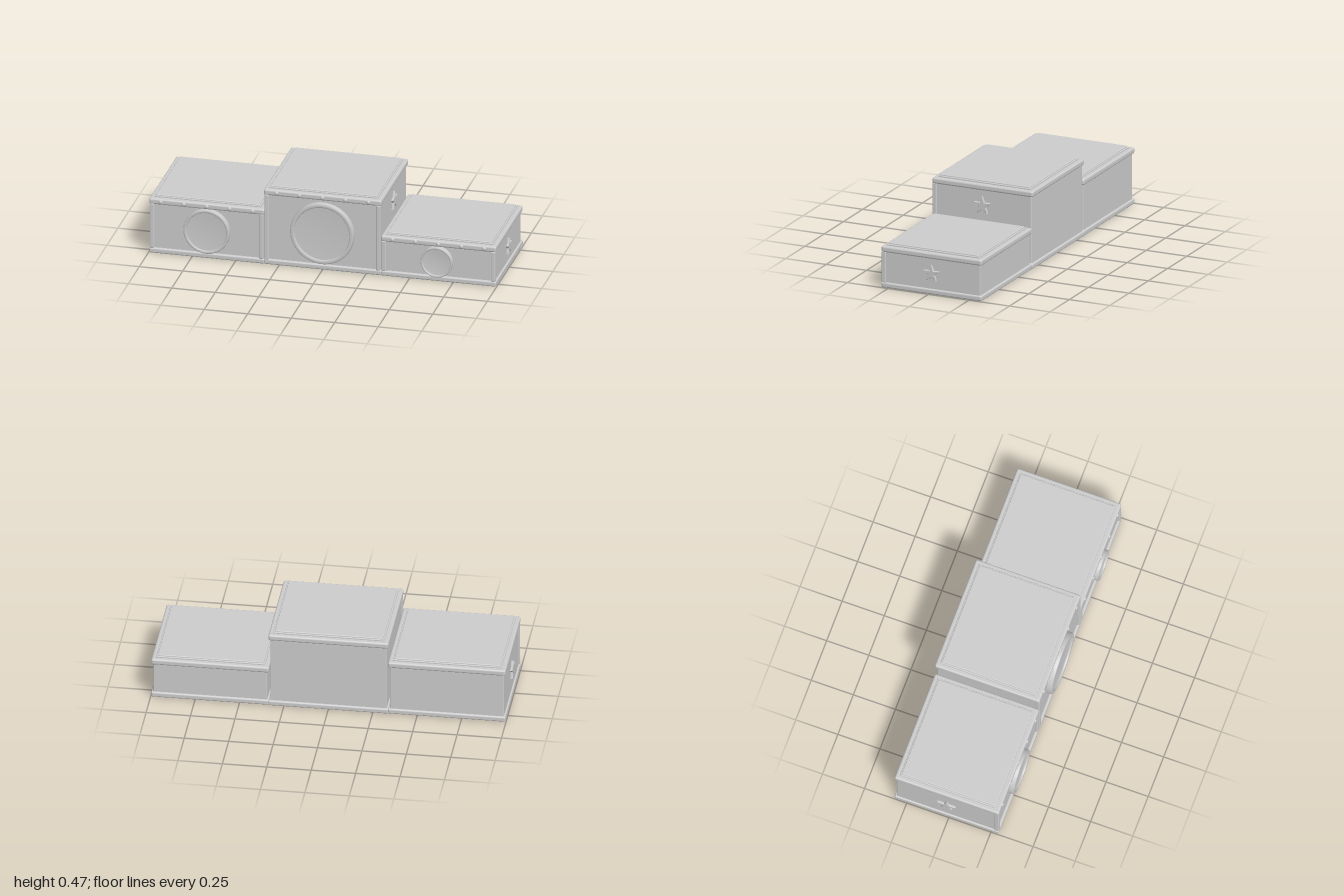
import * as THREE from 'three';
import { RoundedBoxGeometry } from 'three/addons/geometries/RoundedBoxGeometry.js';

const material = new THREE.MeshStandardMaterial({ color: 0xcccccc });

function add(parent, name, geometry, x, y, z) {
  const mesh = new THREE.Mesh(geometry, material);
  mesh.name = name;
  mesh.position.set(x, y, z);
  parent.add(mesh);
  return mesh;
}

// Rounded box given by its min and max corners
function slab(parent, name, [x0, y0, z0], [x1, y1, z1], radius) {
  const g = new RoundedBoxGeometry(x1 - x0, y1 - y0, z1 - z0, 3, radius);
  return add(parent, name, g, (x0 + x1) / 2, (y0 + y1) / 2, (z0 + z1) / 2);
}

// Five-pointed star with a soft bevel, facing +z
function starGeometry(radius) {
  const shape = new THREE.Shape();
  for (let i = 0; i < 10; i++) {
    const r = i % 2 ? radius * 0.42 : radius;
    const a = Math.PI / 2 + (i * Math.PI) / 5;
    shape[i ? 'lineTo' : 'moveTo'](r * Math.cos(a), r * Math.sin(a));
  }
  shape.closePath();
  return new THREE.ExtrudeGeometry(shape, {
    depth: 0.008, bevelThickness: 0.005, bevelSize: 0.004, bevelOffset: -0.004, bevelSegments: 2,
  });
}

// Round plate with a raised, rounded rim, facing +z
function medallion(parent, x, y, radius) {
  const w = radius * 0.13;
  const profile = [
    [0, 0.016], [radius - w, 0.016], [radius - w, 0.026], [radius - w * 0.8, 0.031],
    [radius - w * 0.2, 0.031], [radius, 0.026], [radius, 0],
  ].map(([r, h]) => new THREE.Vector2(r, h)).reverse();
  const g = new THREE.LatheGeometry(profile, 64);
  g.rotateX(Math.PI / 2);
  add(parent, 'medallion', g, x, y, 0.28);
}

// One step: body, base and top mouldings, standing pad, front posts, rivets
function step(name, x0, x1, top, back) {
  const group = new THREE.Group();
  group.name = name;
  const cx = (x0 + x1) / 2;
  const front = 0.294;
  const trimTop = top - 0.015;
  const trimBottom = top - 0.05;

  slab(group, 'body', [x0 + 0.01, 0.01, back + 0.011], [x1 - 0.01, trimTop - 0.01, 0.28], 0.006);
  slab(group, 'baseMoulding', [x0, 0, back], [x1, 0.031, front], 0.009);
  slab(group, 'topMoulding', [x0, trimBottom, back], [x1, trimTop, front], 0.011);

  // Two-tier standing pad
  slab(group, 'padRim', [x0 + 0.025, trimTop - 0.01, back + 0.025], [x1 - 0.025, top - 0.007, 0.267], 0.004);
  slab(group, 'pad', [x0 + 0.033, trimTop - 0.01, back + 0.032], [x1 - 0.033, top, 0.263], 0.005);

  for (const side of [-1, 1]) {
    const px = cx + side * ((x1 - x0) / 2 - 0.017);
    slab(group, 'frontPost', [px - 0.013, 0.028, 0.267], [px + 0.013, trimBottom + 0.004, front], 0.006);
  }

  const rivet = new THREE.SphereGeometry(0.012, 16, 10);
  rivet.scale(1, 1, 0.6);
  for (let i = -2; i <= 2; i++) {
    add(group, 'rivet', rivet, cx + i * 0.132, (trimTop + trimBottom) / 2, front);
  }
  return group;
}

export function createModel() {
  const podium = new THREE.Group();
  podium.name = 'podium';

  const middle = step('middleStep', -0.338, 0.338, 0.468, -0.328);
  const right = step('rightStep', -0.997, -0.335, 0.345, -0.325);
  const left = step('leftStep', 0.335, 0.997, 0.257, -0.325);
  podium.add(middle, right, left);

  // Front medallions
  medallion(middle, 0, 0.222, 0.182);
  medallion(right, -0.664, 0.165, 0.132);
  medallion(left, 0.658, 0.119, 0.091);

  // Side stars
  const stars = [
    [middle, 1, 0.327, 0.33, 0.056],
    [left, 1, 0.986, 0.122, 0.051],
    [right, -1, 0.986, 0.165, 0.056],
  ];
  for (const [group, side, x, y, radius] of stars) {
    const star = add(group, 'sideStar', starGeometry(radius), side * x, y, -0.016);
    star.rotation.y = (side * Math.PI) / 2;
  }

  return podium;
}
